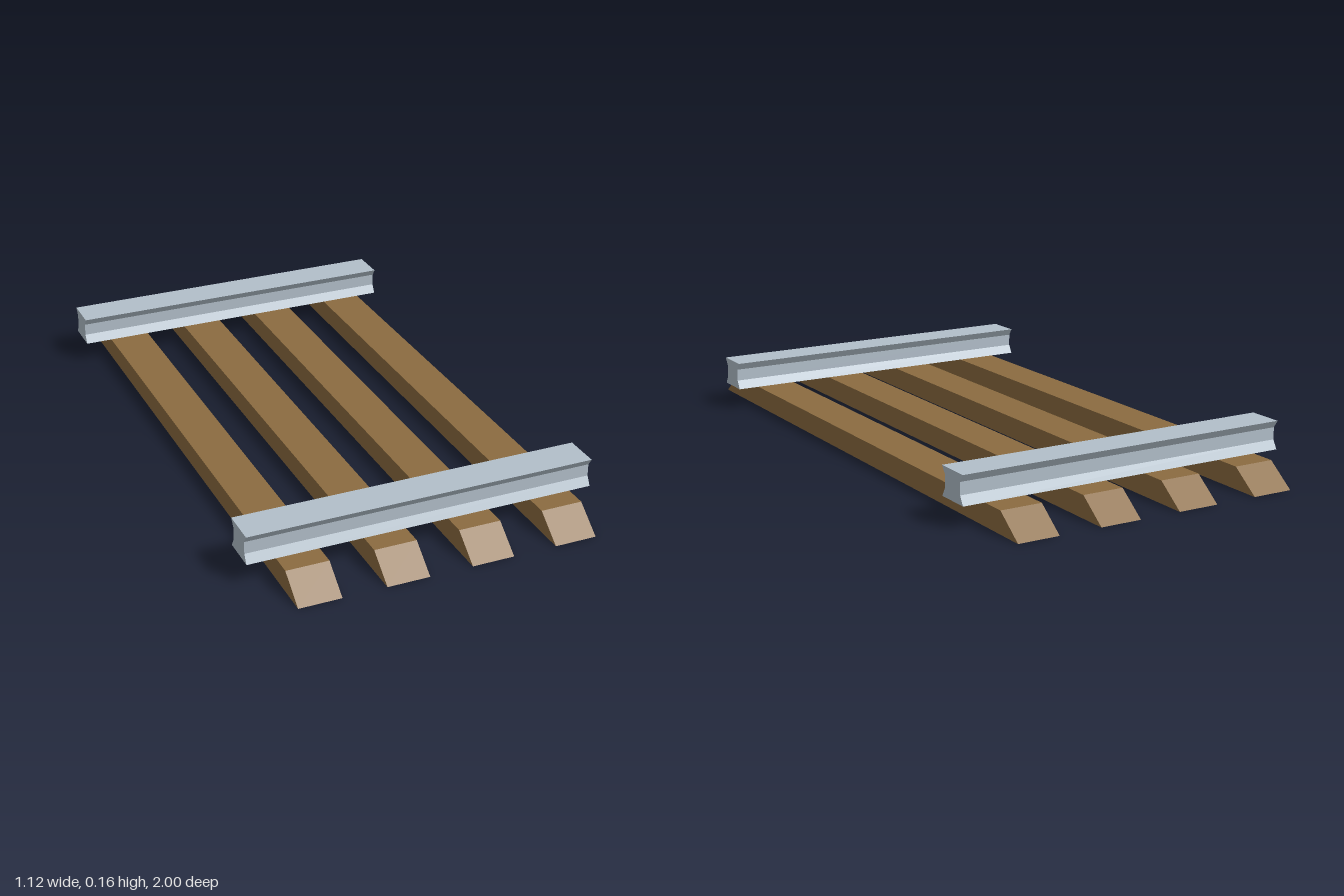
import * as THREE from 'three';

const wood = new THREE.MeshStandardMaterial({ color: 0x8b6b40, flatShading: true });
const steel = new THREE.MeshStandardMaterial({ color: 0xb2bfca, flatShading: true });

// Extrudes a (z, y) outline along x, centred on x = 0
function profileAlongX(points, length) {
  const shape = new THREE.Shape(points.map(([z, y]) => new THREE.Vector2(z, y)));
  const geometry = new THREE.ExtrudeGeometry(shape, { depth: length, bevelEnabled: false });
  geometry.translate(0, 0, -length / 2);
  geometry.rotateY(-Math.PI / 2);
  return geometry;
}

function addPart(group, name, geometry, material, x, z) {
  const mesh = new THREE.Mesh(geometry, material);
  mesh.name = name;
  mesh.position.set(x, 0, z);
  group.add(mesh);
}

export function createModel() {
  const group = new THREE.Group();
  group.name = 'railTrack';

  // Wooden sleepers with sloped ends
  const sleeper = profileAlongX([[-1, 0], [1, 0], [0.908, 0.07], [-0.908, 0.07]], 0.135);
  [-0.402, -0.128, 0.144, 0.418].forEach((x, i) => addPart(group, `sleeper${i + 1}`, sleeper, wood, x, 0));

  // Steel rails with a narrow waist
  const rail = profileAlongX([
    [-0.058, 0.07], [0.058, 0.07], [0.042, 0.098], [0.042, 0.137],
    [0.058, 0.161], [-0.058, 0.161], [-0.042, 0.137], [-0.042, 0.098],
  ], 1.115);
  addPart(group, 'frontRail', rail, steel, -0.001, 0.78);
  addPart(group, 'backRail', rail, steel, -0.001, -0.768);

  return group;
}
